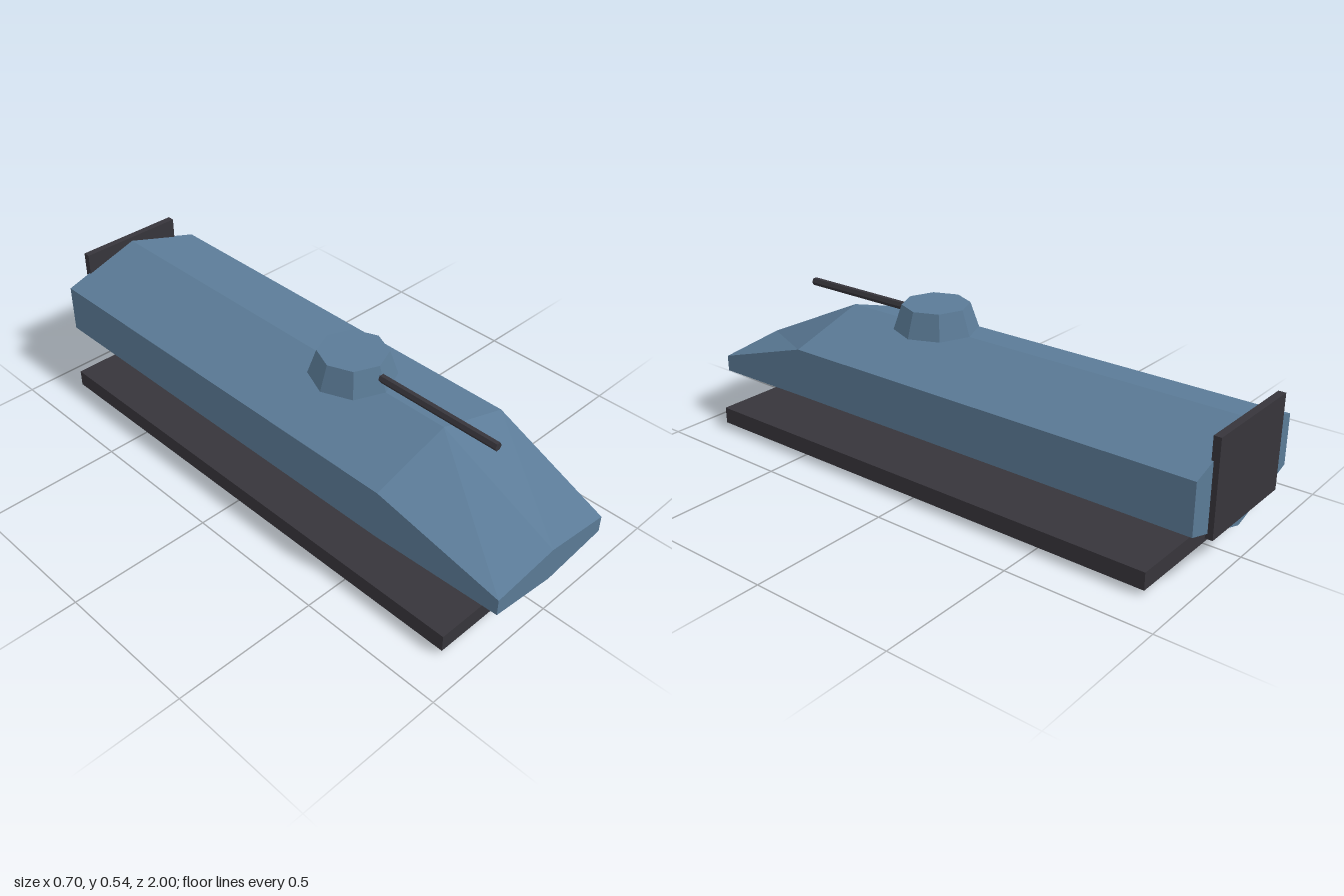
import * as THREE from 'three';

const paint = (name, color, flatShading = false) => {
  const m = new THREE.MeshStandardMaterial({ color, flatShading });
  m.name = name;
  return m;
};

// Six-sided hull section, counter-clockwise seen from the front
const section = (z, halfWidth, top, shoulder, chine, keel) => [
  [0, top, z], [-halfWidth, shoulder, z], [-halfWidth, chine, z],
  [0, keel, z], [halfWidth, chine, z], [halfWidth, shoulder, z],
];

// Skin the sections from back to front and close both ends
function loft(sections) {
  const out = [];
  const tri = (...pts) => pts.forEach((p) => out.push(...p));
  const n = sections[0].length;
  for (let s = 0; s < sections.length - 1; s++) {
    const b = sections[s], f = sections[s + 1];
    for (let i = 0; i < n; i++) {
      const j = (i + 1) % n;
      tri(b[i], b[j], f[j]);
      tri(b[i], f[j], f[i]);
    }
  }
  const back = sections[0], front = sections[sections.length - 1];
  for (let i = 1; i < n - 1; i++) {
    tri(front[0], front[i], front[i + 1]);
    tri(back[0], back[i + 1], back[i]);
  }
  const g = new THREE.BufferGeometry();
  g.setAttribute('position', new THREE.Float32BufferAttribute(out, 3));
  g.computeVertexNormals();
  return g;
}

export function createModel() {
  const model = new THREE.Group();
  model.name = 'hoverTank';
  const blueHull = paint('blueGreyHull', 0x5b7b97, true);
  const dark = paint('charcoal', 0x37353b, true);
  const glow = paint('paleCyan', 0x74bccb, true);

  const add = (name, geometry, material, x, y, z) => {
    const mesh = new THREE.Mesh(geometry, material);
    mesh.name = name;
    mesh.position.set(x, y, z);
    model.add(mesh);
  };

  // Hull with a tapered nose
  add('hull', loft([
    section(-0.982, 0.285, 0.45, 0.362, 0.189, 0.102),
    section(0.565, 0.285, 0.45, 0.362, 0.189, 0.102),
    section(1, 0.245, 0.247, 0.218, 0.16, 0.13),
  ]), blueHull, 0, 0, 0);

  // Turret and gun
  add('turret', new THREE.CylinderGeometry(0.116, 0.145, 0.087, 8), blueHull, 0, 0.4935, 0.182);
  const barrel = new THREE.CylinderGeometry(0.0145, 0.0145, 0.49, 6, 1, false, Math.PI / 6);
  barrel.rotateX(Math.PI / 2);
  add('gunBarrel', barrel, dark, 0, 0.495, 0.523);

  // Rear ramp, hover skirt and lift panel
  add('rearRamp', new THREE.BoxGeometry(0.392, 0.32, 0.025), dark, 0, 0.305, -0.9875);
  add('hoverSkirt', new THREE.BoxGeometry(0.705, 0.059, 1.784), dark, 0, 0.0425, 0.01);
  add('liftPanel', new THREE.BoxGeometry(0.55, 0.013, 1.585), glow, 0, 0.0065, 0.01);

  return model;
}
